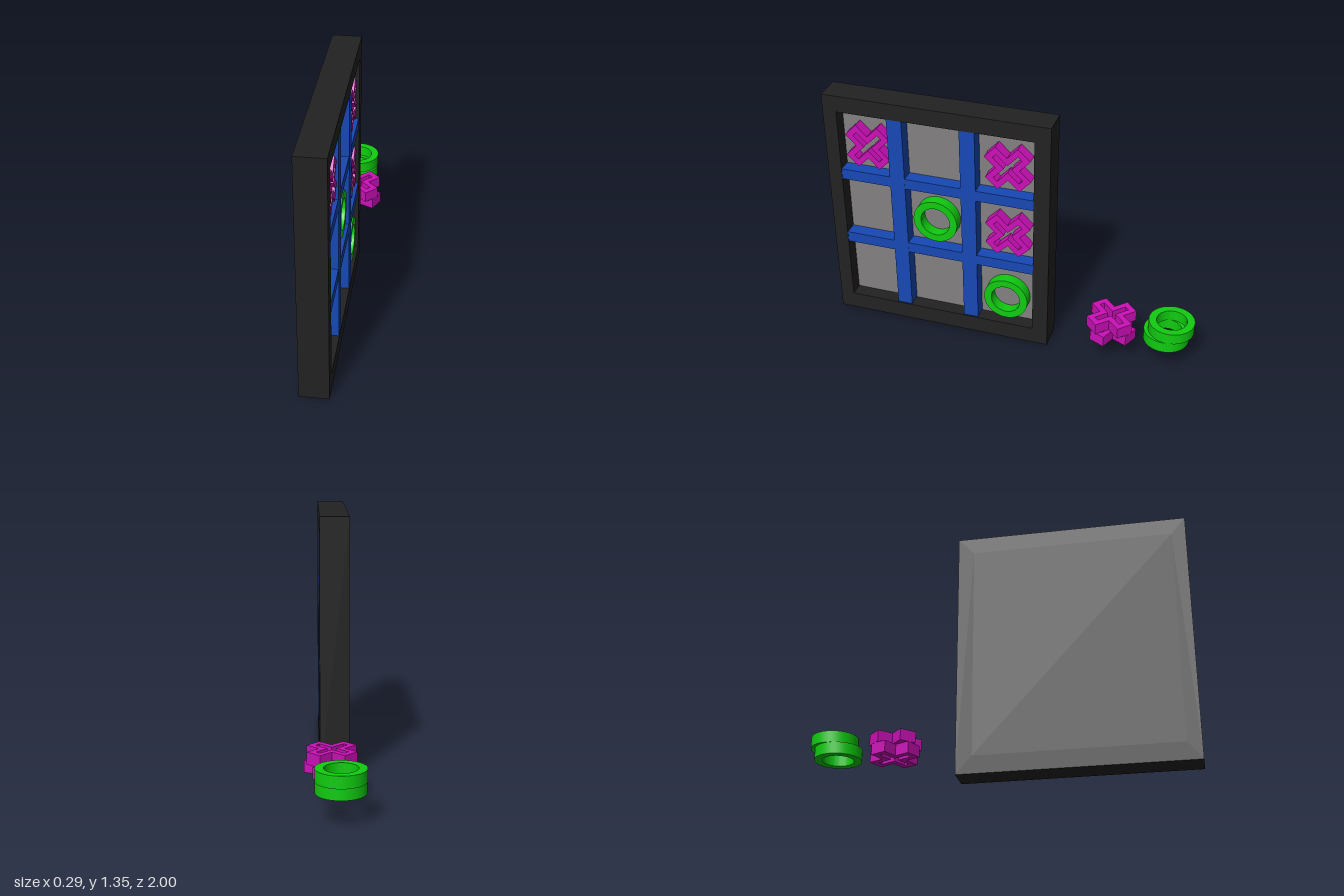
import * as THREE from 'three';
import { toCreasedNormals } from 'three/addons/utils/BufferGeometryUtils.js';

const mat = (color) => new THREE.MeshStandardMaterial({ color });
const BLACK = mat(0x232222), GREY = mat(0x828080), BLUE = mat(0x1648b4);
const MAGENTA = mat(0xcc10b8), GREEN = mat(0x10cc10);
const THICK = 0.061; // thickness of a playing piece

// Box given by its min and max corners
function box(name, min, max, material) {
  const size = max.map((v, i) => v - min[i]);
  const mesh = new THREE.Mesh(new THREE.BoxGeometry(...size), material);
  mesh.position.set(...max.map((v, i) => (v + min[i]) / 2));
  mesh.name = name;
  return mesh;
}

// Corners of a plus sign with arm length l and half width w
function plus(l, w) {
  const pts = [];
  for (let i = 0; i < 4; i++) {
    const o = new THREE.Vector2();
    for (const [x, y] of [[w, -w], [l, -w], [l, w]])
      pts.push(new THREE.Vector2(x, y).rotateAround(o, i * Math.PI / 2));
  }
  return pts;
}

const extrude = (shape) => new THREE.ExtrudeGeometry(shape, { depth: THICK, bevelEnabled: false, curveSegments: 32 });

// Hollow cross piece
const crossShape = new THREE.Shape(plus(0.128, 0.045));
crossShape.holes.push(new THREE.Path(plus(0.096, 0.014)));
const crossGeo = extrude(crossShape);

// Ring piece
const ringShape = new THREE.Shape().absarc(0, 0, 0.122, 0, Math.PI * 2);
ringShape.holes.push(new THREE.Path().absarc(0, 0, 0.081, 0, Math.PI * 2, true));
const ringGeo = toCreasedNormals(extrude(ringShape), 0.6);

// Piece in a holder group, turned by `turn` degrees about its own axis
function piece(kind, turn) {
  const cross = kind === 'cross';
  const mesh = new THREE.Mesh(cross ? crossGeo : ringGeo, cross ? MAGENTA : GREEN);
  mesh.rotation.z = THREE.MathUtils.degToRad(turn);
  const holder = new THREE.Group();
  holder.name = kind + 'Piece';
  holder.add(mesh);
  return holder;
}

export function createModel() {
  const model = new THREE.Group();
  const x0 = -0.085, x1 = 0.066, floorX = -0.01;
  const z0 = -0.22, z1 = 1, top = 1.345;       // outer frame
  const iz0 = -0.135, iz1 = 0.925, iy0 = 0.095, iy1 = 1.255; // opening

  // Frame with a closed back: outline extruded along x
  const outline = new THREE.Shape([[-z1, 0], [-z0, 0], [-z0, top], [-z1, top]].map((p) => new THREE.Vector2(...p)));
  outline.holes.push(new THREE.Path([[-iz1, iy0], [-iz1, iy1], [-iz0, iy1], [-iz0, iy0]].map((p) => new THREE.Vector2(...p))));
  const frame = new THREE.Mesh(new THREE.ExtrudeGeometry(outline, { depth: x1 - x0, bevelEnabled: false }), BLACK);
  frame.name = 'frame';
  frame.rotation.y = Math.PI / 2;
  frame.position.x = x0;
  model.add(frame);
  model.add(box('backPanel', [x0, iy0, iz0], [floorX - 0.02, iy1, iz1], BLACK));
  model.add(box('boardFloor', [floorX - 0.02, iy0, iz0], [floorX, iy1, iz1], GREY));

  // Grid bars
  const barX = x1 - 0.002;
  for (const z of [0.177, 0.568])
    model.add(box('verticalBar', [floorX, iy0 + 0.005, z], [barX, iy1, z + 0.082], BLUE));
  for (const y of [0.454, 0.855])
    model.add(box('horizontalBar', [floorX, y, iz0], [barX - 0.001, y + 0.06, iz1], BLUE));

  // Pieces on the board
  for (const [kind, y, z, turn] of [
    ['cross', 1.066, 0.768, 45], ['cross', 1.07, 0.007, 47], ['cross', 0.668, 0.007, 45],
    ['ring', 0.675, 0.41, 0], ['ring', 0.25, 0.02, 0],
  ]) {
    const p = piece(kind, turn);
    p.rotation.y = Math.PI / 2;
    p.position.set(floorX + 0.004, y, z);
    model.add(p);
  }

  // Spare pieces in stacks of two behind the board
  for (const [kind, x, y, z, turn] of [
    ['cross', 0.012, 0.135, -0.563, -25], ['cross', 0.012, 0.197, -0.56, 45],
    ['ring', -0.024, 0.136, -0.854, 0], ['ring', -0.024, 0.198, -0.877, 0],
  ]) {
    const p = piece(kind, turn);
    p.rotation.x = -Math.PI / 2;
    p.position.set(x, y, z);
    model.add(p);
  }
  return model;
}
